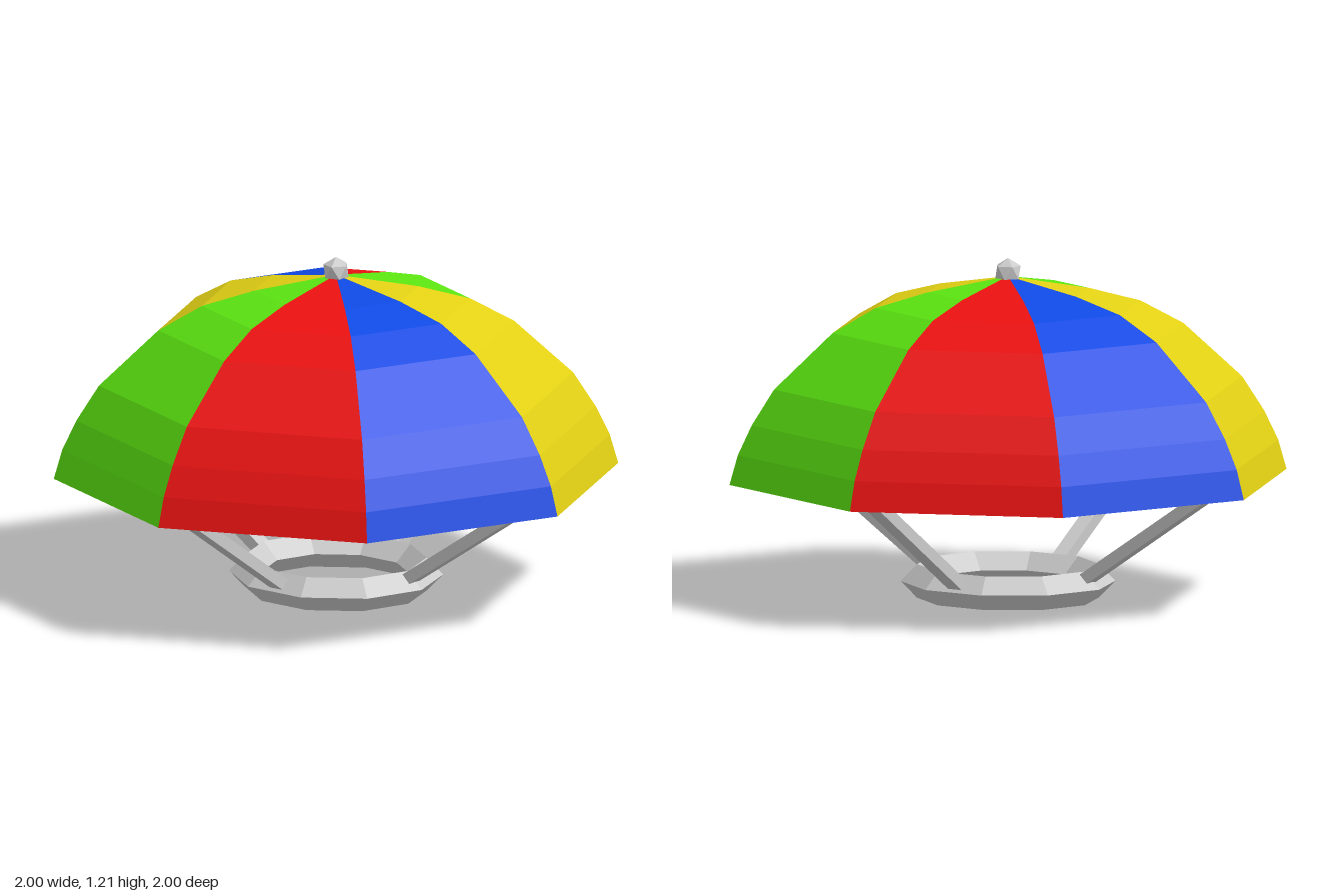
import * as THREE from 'three';

const flat = (color, side = THREE.FrontSide) =>
  new THREE.MeshStandardMaterial({ color, side, flatShading: true });

export function createModel() {
  const model = new THREE.Group();
  model.name = 'parasol';
  const grey = flat(0xcccccc);

  const add = (name, geometry, material, parent = model) => {
    const mesh = new THREE.Mesh(geometry, material);
    mesh.name = name;
    parent.add(mesh);
    return mesh;
  };

  // Canopy: eight gores in four repeating colours, starting at the front
  const canopy = new THREE.Group();
  canopy.name = 'canopy';
  model.add(canopy);
  const profile = [
    [1, 0.43], [0.97, 0.535], [0.92, 0.64], [0.84, 0.765],
    [0.63, 0.96], [0.475, 1.045], [0.29, 1.095], [0, 1.145],
  ].map(([r, y]) => new THREE.Vector2(r, y));
  const cloth = [0xec1111, 0x1049e4, 0xe2d014, 0x5ce611].map((c) => flat(c, THREE.DoubleSide));
  for (let i = 0; i < 8; i++) {
    const gore = new THREE.LatheGeometry(profile, 1, (i * Math.PI) / 4, Math.PI / 4);
    add('canopyPanel' + (i + 1), gore, cloth[i % 4], canopy);
  }

  // Finial: faceted ball with one corner pointing up
  const ball = new THREE.IcosahedronGeometry(0.05);
  ball.rotateZ(-Math.atan(2 / (1 + Math.sqrt(5))));
  add('finial', ball, grey).position.y = 1.16;

  // Base ring: ten-sided, with a diamond cross-section
  const ring = new THREE.TorusGeometry(0.326, 0.06, 4, 10);
  ring.rotateX(Math.PI / 2);
  ring.scale(1, 1, 0.943);
  add('baseRing', ring, grey).position.y = 0.06;

  // Four struts from the ring out to the canopy hem
  const low = new THREE.Vector2(0.32, 0.085);
  const high = new THREE.Vector2(0.95, 0.504);
  const span = high.clone().sub(low);
  const bar = new THREE.BoxGeometry(span.length(), 0.042, 0.058);
  bar.rotateZ(span.angle());
  bar.translate((low.x + high.x) / 2, (low.y + high.y) / 2, 0);
  ['leftStrut', 'backStrut', 'rightStrut', 'frontStrut'].forEach((name, i) => {
    add(name, bar, grey).rotation.y = (i * Math.PI) / 2;
  });

  return model;
}
